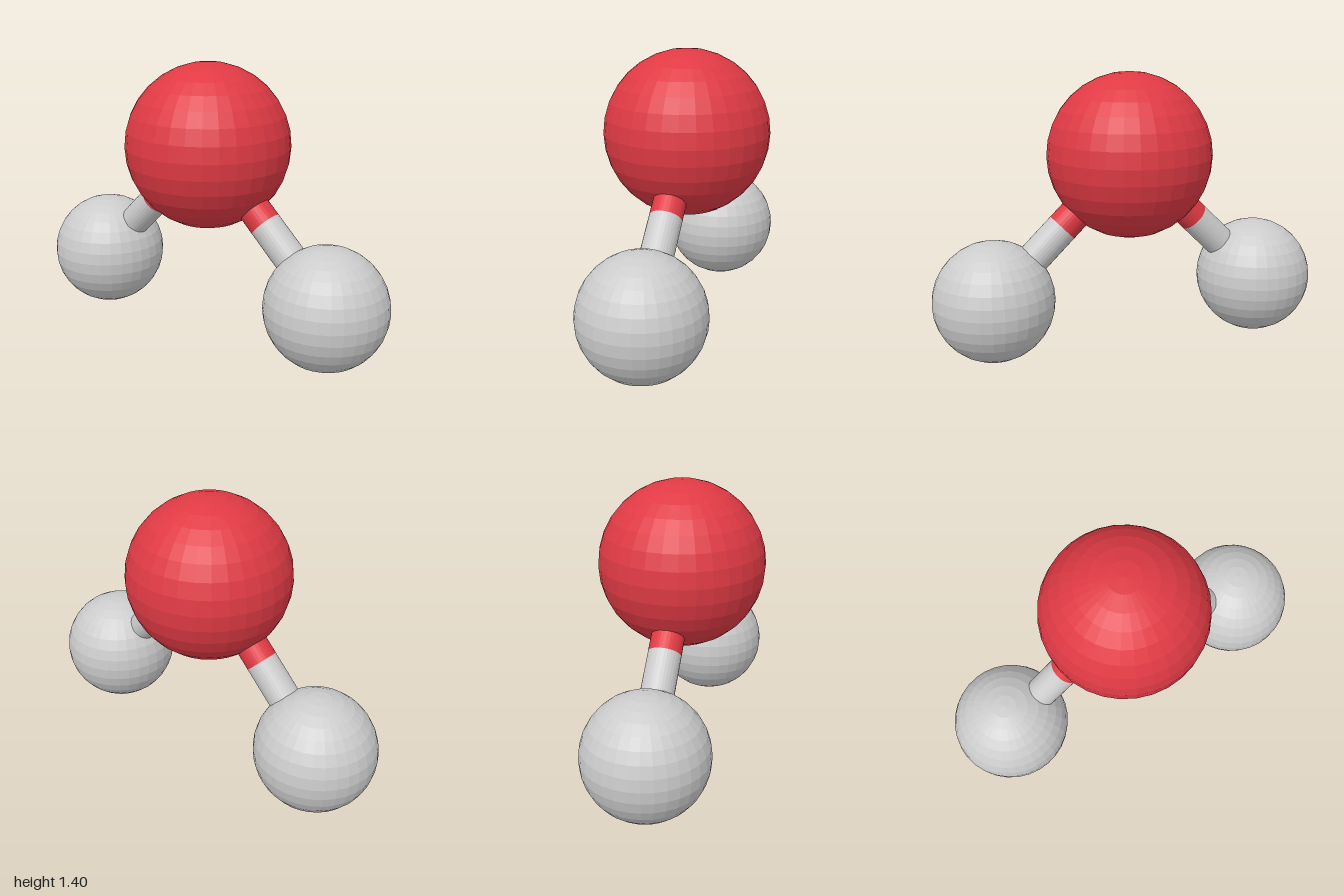
import * as THREE from 'three';

const red = new THREE.MeshStandardMaterial({ color: 0xe03a44, flatShading: true });
const grey = new THREE.MeshStandardMaterial({ color: 0xcccccc, flatShading: true });

function ball(name, radius, position, material) {
  const mesh = new THREE.Mesh(new THREE.SphereGeometry(radius, 32, 16), material);
  mesh.name = name;
  mesh.position.copy(position);
  return mesh;
}

// Cylinder running from one point to another
function rod(name, from, to, material) {
  const dir = to.clone().sub(from);
  const mesh = new THREE.Mesh(new THREE.CylinderGeometry(0.08, 0.08, dir.length(), 32), material);
  mesh.name = name;
  mesh.position.copy(from).add(to).multiplyScalar(0.5);
  mesh.quaternion.setFromUnitVectors(new THREE.Vector3(0, 1, 0), dir.normalize());
  return mesh;
}

export function createModel() {
  const model = new THREE.Group();
  model.name = 'moleculeModel';

  // Large central atom
  const centre = new THREE.Vector3(0, 0.99, 0);
  model.add(ball('centralAtom', 0.412, centre, red));

  // Small outer atoms, each joined by a two-coloured bond split halfway
  for (const [side, s] of [['left', 1], ['right', -1]]) {
    const outer = new THREE.Vector3(0.7 * s, 0.303, 0);
    const middle = centre.clone().lerp(outer, 0.5);
    model.add(
      ball(side + 'OuterAtom', 0.3, outer, grey),
      rod(side + 'BondInnerHalf', centre, middle, red),
      rod(side + 'BondOuterHalf', middle, outer, grey),
    );
  }
  return model;
}
